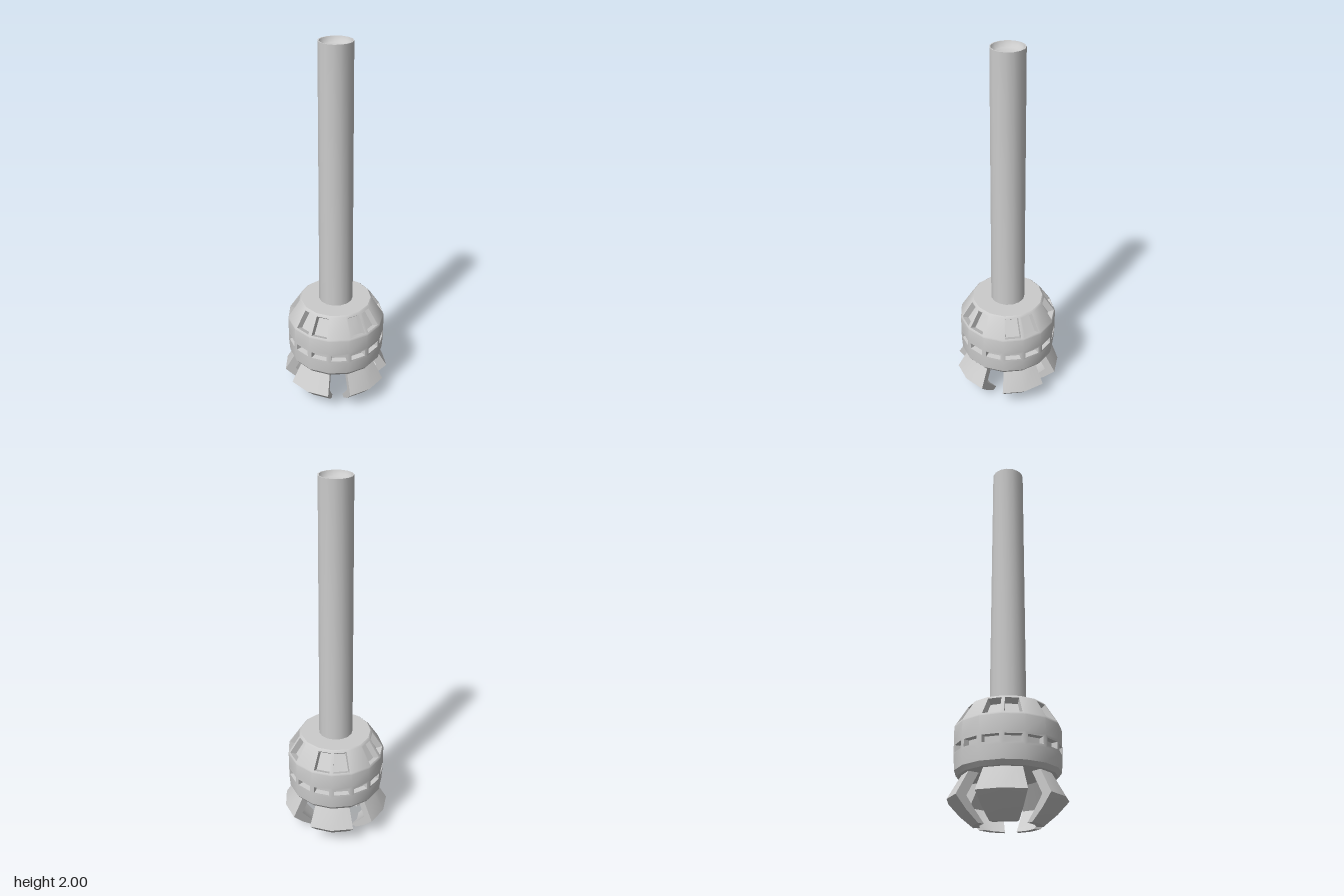
import * as THREE from 'three';
import { toCreasedNormals } from 'three/addons/utils/BufferGeometryUtils.js';

const SIDES = 15;
const STEP = (Math.PI * 2) / SIDES;
const material = new THREE.MeshStandardMaterial({ color: 0xcccccc });

// Point at radius r, height y and angle a around the y axis
const polar = (r, y, a) => new THREE.Vector3(r * Math.cos(a), y, r * Math.sin(a));

// Corners counter-clockwise as seen from the front of the face
function quad(out, a, b, c, d) {
  for (const p of [a, b, c, a, c, d]) out.push(p.x, p.y, p.z);
}

function meshFrom(out, name, crease) {
  const geometry = new THREE.BufferGeometry();
  geometry.setAttribute('position', new THREE.Float32BufferAttribute(out, 3));
  const mesh = new THREE.Mesh(toCreasedNormals(geometry, crease), material);
  mesh.name = name;
  return mesh;
}

// Corners of one facet between two [radius, height] rings
function facet(lower, upper, a0, a1) {
  return [polar(...lower, a1), polar(...lower, a0), polar(...upper, a0), polar(...upper, a1)];
}

// Facet with a sunken pocket; u0..u1 and v0..v1 are the opening in fractions
function pocketFacet(out, corners, [u0, u1, v0, v1], depth) {
  const [a, b, c, d] = corners;
  const at = (u, v) => a.clone().lerp(b, u).lerp(d.clone().lerp(c, u), v);
  const rim = [at(u0, v0), at(u1, v0), at(u1, v1), at(u0, v1)];
  const normal = b.clone().sub(a).cross(d.clone().sub(a)).normalize();
  const centre = at((u0 + u1) / 2, (v0 + v1) / 2);
  const floor = rim.map((p) => p.clone().lerp(centre, 0.1).addScaledVector(normal, -depth));
  for (let i = 0; i < 4; i++) {
    const j = (i + 1) % 4;
    quad(out, corners[i], corners[j], rim[j], rim[i]);
    quad(out, rim[i], rim[j], floor[j], floor[i]);
  }
  quad(out, ...floor);
}

// Fifteen-sided head: pairs of windows on the slope, a row of slots on the band
function createHead() {
  const out = [];
  const rings = [
    [0, 0.233], [0.245, 0.233], [0.262, 0.255], [0.267, 0.325], [0.267, 0.39],
    [0.267, 0.47], [0.264, 0.478], [0.2, 0.578], [0.192, 0.585], [0, 0.585],
  ];
  for (let k = 0; k < SIDES; k++) {
    const a0 = k * STEP, a1 = a0 + STEP;
    for (let i = 0; i < rings.length - 1; i++) {
      const corners = facet(rings[i], rings[i + 1], a0, a1);
      if (i === 3) pocketFacet(out, corners, [0.12, 0.88, 0.22, 0.78], 0.03);
      else if (i === 6 && k % 3 !== 1) pocketFacet(out, corners, [0.1, 0.9, 0.04, 0.94], 0.035);
      else quad(out, ...corners);
    }
  }
  return meshFrom(out, 'head', 0.5);
}

// Bent claw spanning two facets, closed along its sides
function createClaw() {
  const out = [];
  const outer = [[0.168, 0], [0.235, 0.055], [0.293, 0.117], [0.222, 0.24]];
  const inner = [[0.135, 0], [0.185, 0.055], [0.235, 0.117], [0.165, 0.24]];
  for (const a0 of [-STEP, 0]) {
    const a1 = a0 + STEP;
    for (let i = 0; i < 3; i++) {
      quad(out, ...facet(outer[i], outer[i + 1], a0, a1));
      quad(out, ...facet(inner[i + 1], inner[i], a0, a1));
    }
    quad(out, ...facet(inner[0], outer[0], a0, a1));
    quad(out, ...facet(outer[3], inner[3], a0, a1));
  }
  for (let i = 0; i < 3; i++) {
    const side = (a) => [inner[i], outer[i], outer[i + 1], inner[i + 1]].map((p) => polar(...p, a));
    quad(out, ...side(STEP));
    quad(out, ...side(-STEP).reverse());
  }
  return meshFrom(out, 'claw', 0.45);
}

// Slightly tapered pole with a shallow dished end
function createPole() {
  const profile = [
    [0.093, 0.57], [0.086, 2], [0.08, 2], [0.074, 1.985], [0.06, 1.975], [0.035, 1.97], [0, 1.968],
  ].map(([r, y]) => new THREE.Vector2(r, y));
  const lathe = new THREE.LatheGeometry(profile, SIDES, Math.PI / 2);
  const mesh = new THREE.Mesh(toCreasedNormals(lathe, 0.7), material);
  mesh.name = 'pole';
  return mesh;
}

export function createModel() {
  const group = new THREE.Group();
  group.name = 'clawedStaff';
  group.add(createPole(), createHead());

  // Five claws below the window pairs
  const claws = new THREE.Group();
  claws.name = 'claws';
  const claw = createClaw();
  for (let i = 0; i < 5; i++) {
    const copy = claw.clone();
    copy.rotation.y = (i * Math.PI * 2) / 5;
    claws.add(copy);
  }
  group.add(claws);
  group.children.forEach((part) => { part.position.x = -0.003; });
  return group;
}
